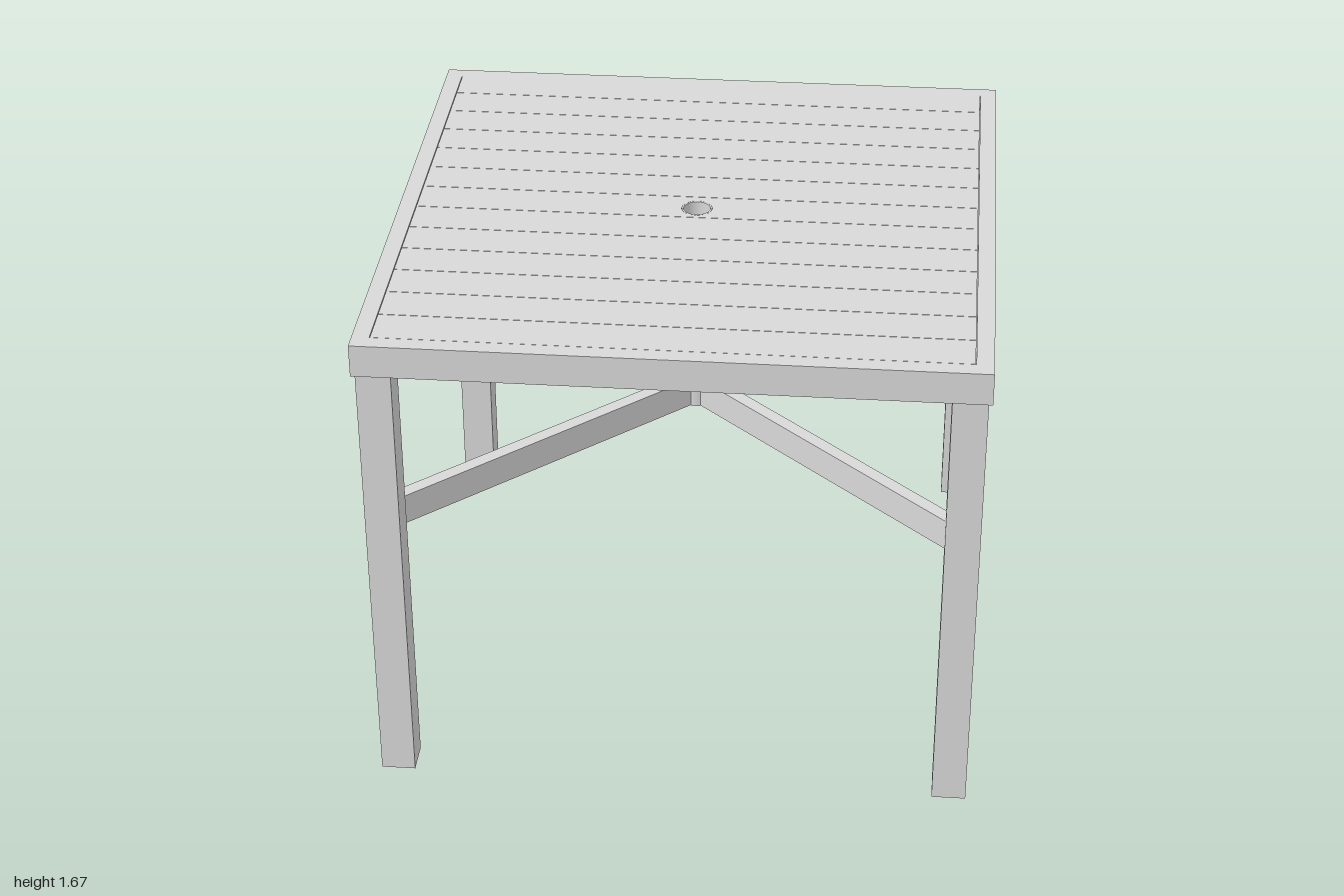
import * as THREE from 'three';

const metal = new THREE.MeshStandardMaterial({ color: 0xd8d8d8 });
metal.name = 'paintedGrey';

const outline = (points) => points.map(([x, z]) => new THREE.Vector2(x, -z));
// Counter-clockwise seen from above
const rect = (x0, x1, z0, z1) => [[x0, z1], [x1, z1], [x1, z0], [x0, z0]];
const rectHole = (h, x = 0, z = 0) => new THREE.Path(outline(rect(x - h, x + h, z - h, z + h)));

// Outline in (x, z) raised from y0 to y1, with optional holes
function prism(name, points, y0, y1, holes = []) {
  const shape = new THREE.Shape(outline(points));
  shape.holes.push(...holes);
  const geo = new THREE.ExtrudeGeometry(shape, { depth: y1 - y0, bevelEnabled: false, curveSegments: 32 });
  geo.rotateX(-Math.PI / 2).translate(0, y0, 0);
  const mesh = new THREE.Mesh(geo, metal);
  mesh.name = name;
  return mesh;
}

// Open upright tube for the pole; corner points are doubled to keep edges sharp
function poleTube(name, y0, y1) {
  const a = 0.045, b = 0.051;
  const profile = [[a, y0], [b, y0], [b, y0], [b, y1], [b, y1], [a, y1], [a, y1], [a, y0]];
  const mesh = new THREE.Mesh(
    new THREE.LatheGeometry(profile.map(([r, y]) => new THREE.Vector2(r, y)), 32), metal);
  mesh.name = name;
  return mesh;
}

export function createModel() {
  const table = new THREE.Group();
  table.name = 'slattedTable';
  const TOP = 1.667, RIM = 1.557, SLAT = 1.645, INNER = 0.9435;

  // Square rim around the slats
  table.add(prism('rim', rect(-1, 1, -1, 1), RIM, TOP, [rectHole(INNER)]));

  // Thirteen slats with hairline gaps; the middle one has the pole hole
  const slats = new THREE.Group();
  slats.name = 'slats';
  const pitch = 0.1461, gap = 0.001;
  for (let i = 0; i < 13; i++) {
    const z0 = i === 0 ? -INNER : -0.956 + i * pitch + gap;
    const z1 = -0.956 + (i + 1) * pitch - gap;
    const holes = i === 6 ? [new THREE.Path().absarc(0, 0, 0.0515, 0, Math.PI * 2)] : [];
    slats.add(prism('slat', rect(-INNER + 2 * gap, INNER - 2 * gap, z0, z1), SLAT, TOP, holes));
  }
  table.add(slats);

  // Pole sleeve through the top, and the hub ring below it where the braces meet
  table.add(poleTube('poleSleeve', 1.517, TOP));
  table.add(poleTube('braceHub', 0.917, 1.024));

  // Support bars under the slats, and ties from the sleeve to the middle bars
  for (const x of [-0.82, -0.27, 0.27, 0.82]) {
    table.add(prism('supportBar', rect(x - 0.02, x + 0.02, -INNER, INNER), 1.595, SLAT));
  }
  for (const x of [-0.15, 0.15]) {
    table.add(prism('sleeveTie', rect(x - 0.102, x + 0.102, -0.015, 0.015), 1.595, SLAT));
  }

  // Hollow legs, and braces from the hub to the inner z faces of the legs
  const LEG = 0.9315, H = 0.0565, WALL = 0.007;
  const END = LEG - H, LEN = Math.hypot(LEG, END);
  const HALF = 0.0235, START = 0.045;
  const dx = LEG / LEN, dz = END / LEN, cut = HALF / dz;
  for (const sx of [-1, 1]) {
    for (const sz of [-1, 1]) {
      const x = sx * LEG, z = sz * LEG;
      table.add(prism('leg', rect(x - H, x + H, z - H, z + H), 0, SLAT, [rectHole(H - WALL, x, z)]));
      const brace = [
        [dx * START - dz * HALF, dz * START + dx * HALF],
        [dx * START + dz * HALF, dz * START - dx * HALF],
        [LEG + cut, END],
        [LEG - cut, END],
      ].map(([px, pz]) => [sx * px, sz * pz]);
      table.add(prism('brace', brace, 0.918, 1.023));
    }
  }

  return table;
}
